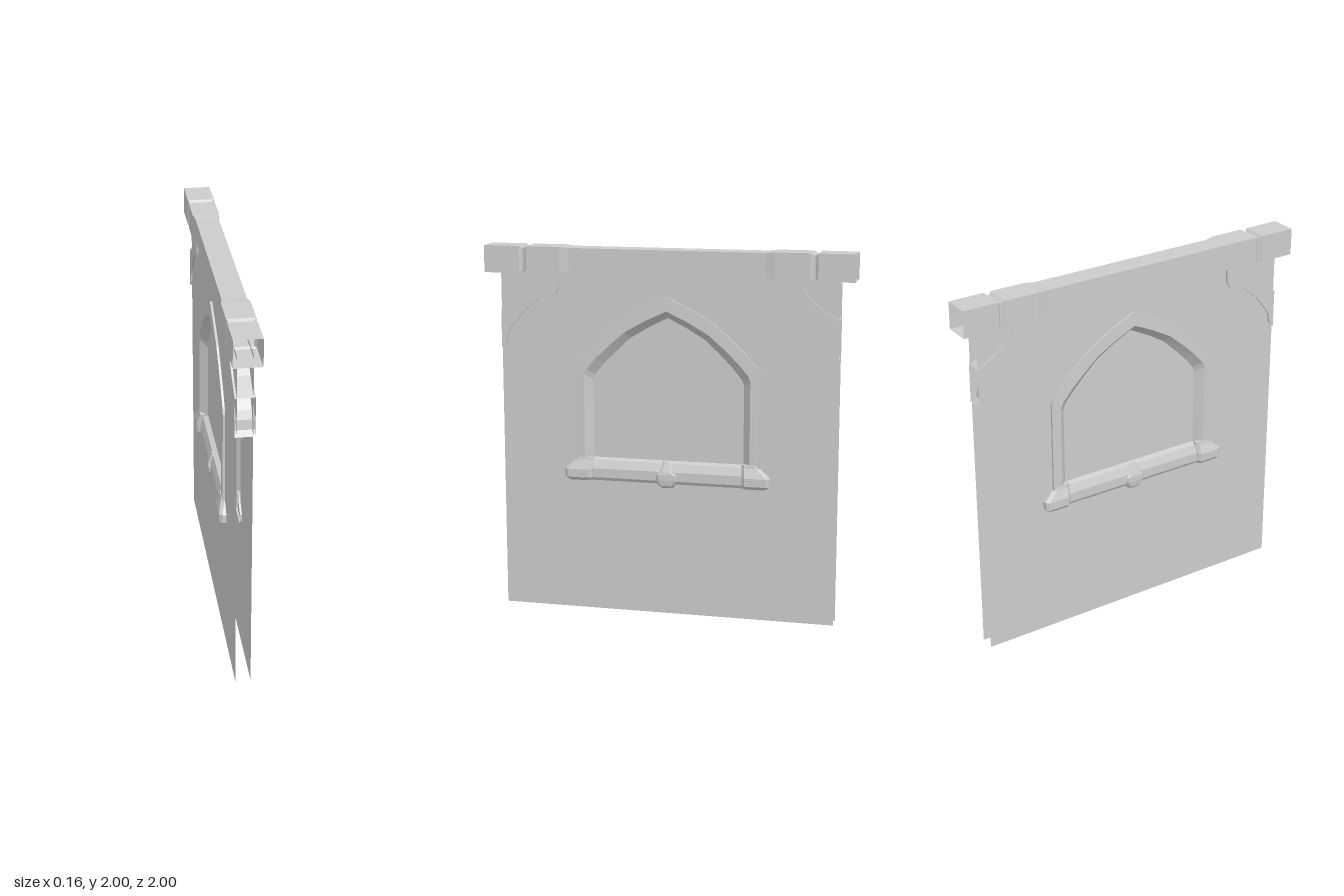
import * as THREE from 'three';

const material = new THREE.MeshStandardMaterial({ color: 0xcccccc, flatShading: true, side: THREE.DoubleSide });

function add(parent, name, geometry) {
  const mesh = new THREE.Mesh(geometry, material);
  mesh.name = name;
  parent.add(mesh);
  return mesh;
}

// Skin a list of rows, each an equally long list of [x, y, z] points
function loft(rows) {
  const n = rows[0].length, index = [];
  for (let r = 0; r < rows.length - 1; r++) {
    for (let c = 0; c < n - 1; c++) {
      const a = r * n + c, b = a + 1, d = a + n, e = d + 1;
      index.push(a, b, e, a, e, d);
    }
  }
  const g = new THREE.BufferGeometry();
  g.setAttribute('position', new THREE.Float32BufferAttribute(rows.flat(2), 3));
  g.setIndex(index);
  const flat = g.toNonIndexed();
  flat.computeVertexNormals();
  return flat;
}

const toShape = (pts) => new THREE.Shape(pts.map(([x, y]) => new THREE.Vector2(x, y)));
const atDepth = (pts, z) => pts.map(([x, y]) => [x, y, z]);

// Pointed arch outline, from the right foot over the apex to the left foot
function arch(width, base, spring, apex) {
  const curve = [[1, 0], [0.975, 0.08], [0.86, 0.25], [0.68, 0.47], [0.5, 0.67], [0.25, 0.85], [0, 1]];
  const half = [[width, base], ...curve.map(([u, v]) => [u * width, spring + v * (apex - spring)])];
  const mirrored = half.slice(0, -1).reverse().map(([x, y]) => [-x, y]);
  return [...half, ...mirrored];
}

// Chamfered block on the wall, from levels of [y, right, left, depth]
function block(levels, chamfer) {
  const back = 0.03;
  const row = ([y, r, l, d]) => [
    [r, y, back], [r, y, Math.max(back, d - chamfer)], [r - chamfer, y, d],
    [l + chamfer, y, d], [l, y, Math.max(back, d - chamfer)], [l, y, back],
  ];
  const cap = (level) => row(level).map(([x, y]) => [x, y, back]);
  return loft([cap(levels[0]), ...levels.map(row), cap(levels[levels.length - 1])]);
}

// Curved corner bracket; s = 1 or -1 picks the end of the wall
function addBracket(side, s) {
  const depth = 0.051;
  const place = (pts) => pts.map(([u, y]) => [s * u, y]);
  const lower = place([[0.59, 1.865], [0.595, 1.775], [0.61, 1.745], [0.67, 1.733], [0.71, 1.715],
    [0.8, 1.635], [0.86, 1.56], [0.882, 1.52], [0.89, 1.47], [0.917, 1.445]]);
  const upper = place([[0.705, 1.865], [0.722, 1.82], [0.76, 1.765], [0.81, 1.72], [0.917, 1.655]]);
  const bracket = new THREE.Group();
  bracket.name = 'cornerBracket';
  add(bracket, 'bracketFace', new THREE.ShapeGeometry(toShape([...lower, ...[...upper].reverse()])).translate(0, 0, depth));
  const near = s > 0 ? [0, depth] : [depth, 0];
  add(bracket, 'bracketUnderside', loft(near.map((d) => atDepth(lower, d))));
  add(bracket, 'bracketTop', loft([...near].reverse().map((d) => atDepth(upper, d))));
  side.add(bracket);
}

// One face of the wall, built facing +z
function buildSide(name) {
  const side = new THREE.Group();
  side.name = name;
  const outer = arch(0.507, 0.82, 1.35, 1.748);
  const inner = arch(0.455, 0.82, 1.315, 1.672);
  const deep = arch(0.414, 0.82, 1.285, 1.632);

  // Wall sheet with the window cut out, and the recessed pane
  const wall = toShape([[-0.917, 0], [0.917, 0], [0.917, 1.875], [-0.917, 1.875]]);
  wall.holes.push(new THREE.Path(outer.map(([x, y]) => new THREE.Vector2(x, y))));
  add(side, 'wallSheet', new THREE.ShapeGeometry(wall).translate(0, 0, 0.04));
  add(side, 'windowPane', new THREE.ShapeGeometry(toShape(deep)).translate(0, 0, 0.012));

  // Arched frame with a splayed reveal
  add(side, 'windowFrame', loft([
    atDepth(outer, 0.04), atDepth(outer, 0.052), atDepth(inner, 0.055), atDepth(deep, 0.012),
  ]));

  // Sill, its end blocks and the middle boss
  const sill = [[0.855, 0.012], [0.845, 0.04], [0.8, 0.057], [0.75, 0.057], [0.733, 0.047], [0.733, 0.035]];
  add(side, 'windowSill', loft(sill.map(([y, d]) => [[0.42, y, d], [-0.42, y, d]])));
  const ends = [[0.862, 0.5, 0.41, 0.057], [0.845, 0.51, 0.41, 0.06], [0.795, 0.565, 0.415, 0.078],
    [0.75, 0.565, 0.415, 0.078], [0.733, 0.545, 0.42, 0.066]];
  add(side, 'sillEnd', block(ends, 0.016));
  add(side, 'sillEnd', block(ends.map(([y, r, l, d]) => [y, -l, -r, d]), 0.016));
  add(side, 'sillBoss', block([[0.853, 0.025, -0.025, 0.045], [0.8, 0.04, -0.04, 0.065], [0.785, 0.06, -0.06, 0.068],
    [0.755, 0.06, -0.06, 0.068], [0.725, 0.045, -0.045, 0.064], [0.712, 0.035, -0.035, 0.054]], 0.015));

  for (const s of [1, -1]) addBracket(side, s);
  return side;
}

export function createModel() {
  const model = new THREE.Group();
  model.name = 'wallPanel';

  // Two back-to-back wall faces
  for (const s of [1, -1]) {
    const side = buildSide(s > 0 ? 'leftFace' : 'rightFace');
    side.rotation.y = s * Math.PI / 2;
    model.add(side);
  }

  // Hollow top beam with notched ends, from sections of [z, half width, bottom, top]
  const half = [[0.53, 0.062, 1.87, 1.995], [0.58, 0.072, 1.855, 2], [0.765, 0.072, 1.855, 2],
    [0.782, 0.062, 1.865, 1.988], [0.792, 0.062, 1.865, 1.988], [0.805, 0.072, 1.855, 2], [1, 0.072, 1.855, 2]];
  const sections = [...[...half].reverse().map(([z, ...rest]) => [-z, ...rest]), ...half];
  add(model, 'topBeam', loft(sections.map(([z, w, b, t]) =>
    [[w, b, z], [w, t, z], [-w, t, z], [-w, b, z], [w, b, z]])));

  return model;
}
